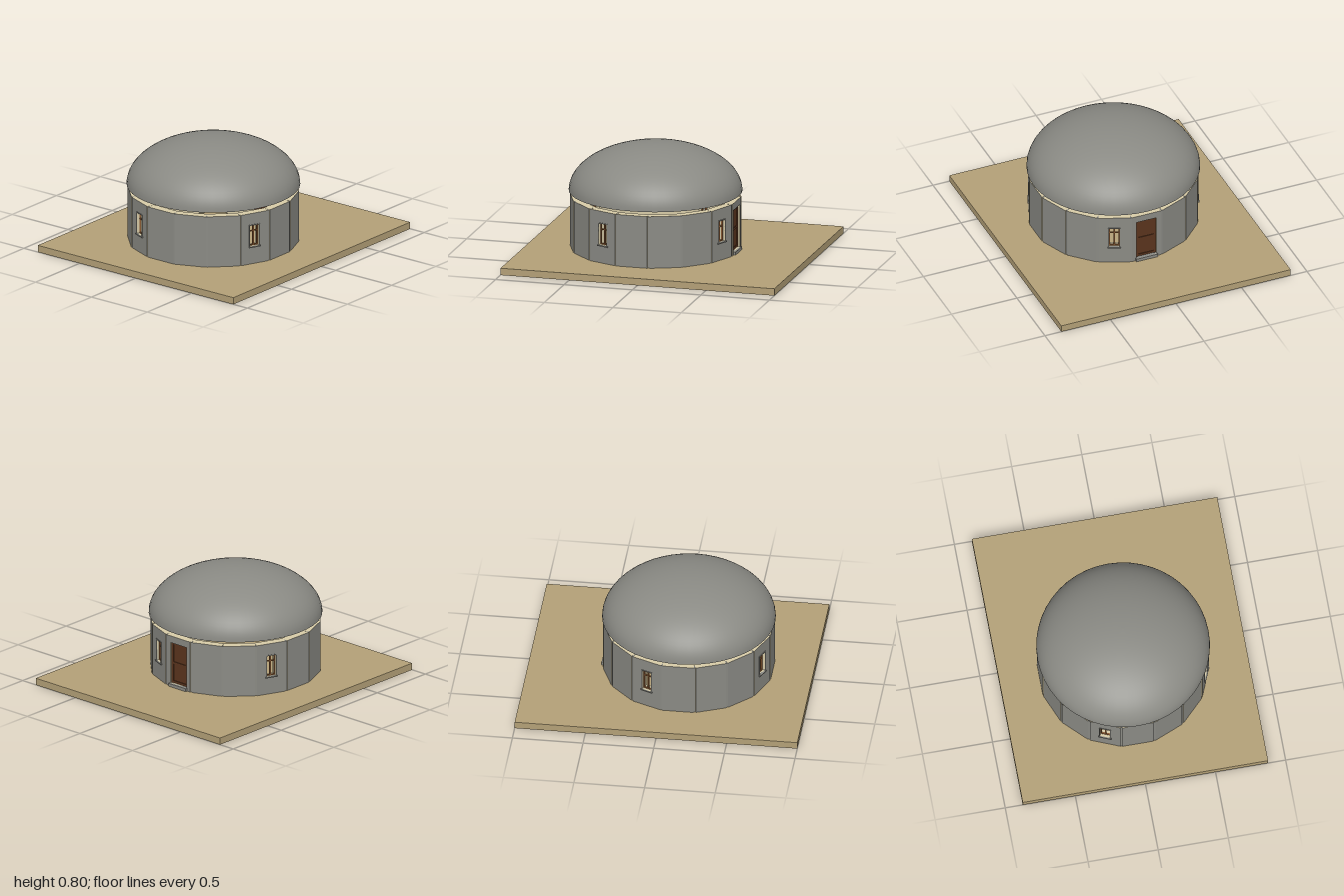
import * as THREE from 'three';

const mat = (name, color, side = THREE.FrontSide) => {
  const m = new THREE.MeshStandardMaterial({ color, side });
  m.name = name;
  return m;
};

export function createModel() {
  const sand = mat('sand', 0xb3a077);
  const stone = mat('grey stone', 0x8a8a84);
  const plaster = mat('cream plaster', 0xd8cca8);
  const doorWood = mat('dark door wood', 0x5a341d);
  const frameWood = mat('window wood', 0x8a5a32);

  const SIDES = 16, STEP = (Math.PI * 2) / SIDES;
  const FLOOR = 0.05, TOP = 0.425, HALF = 0.11;
  const OUTER = 0.593, SKIN = 0.006, INNER = 0.533;
  const WINDOWS = [3, 7, 11, 15], DOOR = 8;
  const winHole = { w: 0.037, y0: 0.18, y1: 0.335 };
  const doorHole = { w: 0.077, y0: 0.072, y1: 0.375 };

  const model = new THREE.Group();
  model.name = 'domedHut';

  const box = (parent, name, material, w, h, d, x, y, z) => {
    const m = new THREE.Mesh(new THREE.BoxGeometry(w, h, d), material);
    m.name = name;
    m.position.set(x, y, z);
    parent.add(m);
    return m;
  };

  const rect = (T, w, y0, y1) => {
    const s = new T();
    s.moveTo(-w, y0).lineTo(w, y0).lineTo(w, y1).lineTo(-w, y1).closePath();
    return s;
  };

  // Ground slab
  box(model, 'groundSlab', sand, 1.75, FLOOR, 2, 0, FLOOR / 2, 0);

  const hut = new THREE.Group();
  hut.name = 'hut';
  hut.position.z = 0.12;
  model.add(hut);

  // One wall layer, with an optional opening
  const layer = (parent, name, materials, hole, z0, z1) => {
    const s = rect(THREE.Shape, HALF, FLOOR, TOP);
    if (hole) s.holes.push(rect(THREE.Path, hole.w, hole.y0, hole.y1));
    const g = new THREE.ExtrudeGeometry(s, { depth: z1 - z0, bevelEnabled: false });
    const m = new THREE.Mesh(g, materials);
    m.name = name;
    m.position.z = z0;
    parent.add(m);
  };

  // Wooden window set back in the opening, with a stone surround and sill
  const addWindow = (side) => {
    const w = new THREE.Group();
    w.name = 'window';
    side.add(w);
    const { w: hw, y0, y1 } = winHole;
    const h = y1 - y0, cy = (y0 + y1) / 2, z = OUTER - 0.024;
    for (const s of [-1, 1]) {
      box(w, 'frameSide', frameWood, 0.007, h, 0.012, s * (hw - 0.0035), cy, z);
      box(w, 'surroundSide', stone, 0.006, h, 0.008, s * (hw + 0.003), cy, OUTER);
    }
    for (const y of [y0 + 0.0035, y1 - 0.0035])
      box(w, 'frameRail', frameWood, hw * 2, 0.007, 0.012, 0, y, z);
    box(w, 'mullion', frameWood, 0.009, h, 0.012, 0, cy, z);
    box(w, 'transom', frameWood, hw * 2, 0.006, 0.012, 0, y0 + h * 0.7, z);
    box(w, 'surroundTop', stone, hw * 2 + 0.012, 0.006, 0.008, 0, y1 + 0.003, OUTER);
    box(w, 'sill', stone, hw * 2 + 0.018, 0.008, 0.02, 0, y0 - 0.004, OUTER);
  };

  // Panelled door with a step
  const addDoor = (side) => {
    const d = new THREE.Group();
    d.name = 'door';
    side.add(d);
    const { w, y0, y1 } = doorHole;
    const h = y1 - y0, cy = (y0 + y1) / 2, z = OUTER - 0.024;
    box(d, 'doorLeaf', doorWood, w * 2, h, 0.012, 0, cy, z);
    for (const s of [-1, 1])
      box(d, 'doorStile', doorWood, 0.016, h, 0.008, s * (w - 0.008), cy, z + 0.007);
    for (const y of [y0 + 0.01, cy, y1 - 0.008])
      box(d, 'doorRail', doorWood, w * 2, 0.016, 0.007, 0, y, z + 0.007);
    box(d, 'doorStep', stone, w * 2 + 0.01, y0 - FLOOR, 0.03, 0, (y0 + FLOOR) / 2, OUTER);
  };

  // Sixteen wall sides: stone skin over plaster, with posts in the corners
  for (let i = 0; i < SIDES; i++) {
    const side = new THREE.Group();
    side.name = 'wallSide';
    side.rotation.y = i * STEP;
    hut.add(side);
    const hole = i === DOOR ? doorHole : WINDOWS.includes(i) ? winHole : null;
    layer(side, 'wallSkin', [stone, plaster], hole, OUTER - SKIN, OUTER);
    layer(side, 'wallCore', plaster, hole, INNER, OUTER - SKIN);
    if (hole === winHole) addWindow(side);
    if (hole === doorHole) addDoor(side);

    const corner = new THREE.Group();
    corner.name = 'wallCorner';
    corner.rotation.y = (i + 0.5) * STEP;
    hut.add(corner);
    box(corner, 'cornerPost', stone, 0.024, TOP - FLOOR - 0.001, 0.03, 0, (TOP + FLOOR) / 2 - 0.0005, 0.584);
  }

  // Floating elliptical dome: outer shell, flat rim and inner shell
  const R = 0.61, H = 0.335, T = 0.03, BASE = 0.46;
  const arc = (r, h, n = 20) =>
    Array.from({ length: n + 1 }, (_, i) => {
      const a = (i / n) * Math.PI / 2;
      return new THREE.Vector2(i === n ? 0 : r * Math.cos(a), h * Math.sin(a));
    });
  const addLathe = (name, pts) => {
    const m = new THREE.Mesh(new THREE.LatheGeometry(pts, 48), stone);
    m.name = name;
    m.position.y = BASE;
    hut.add(m);
  };
  addLathe('domeRoof', arc(R, H));
  addLathe('domeLining', arc(R - T, H - T).reverse());
  addLathe('domeRim', [new THREE.Vector2(R - T, 0), new THREE.Vector2(R, 0)]);

  return model;
}
